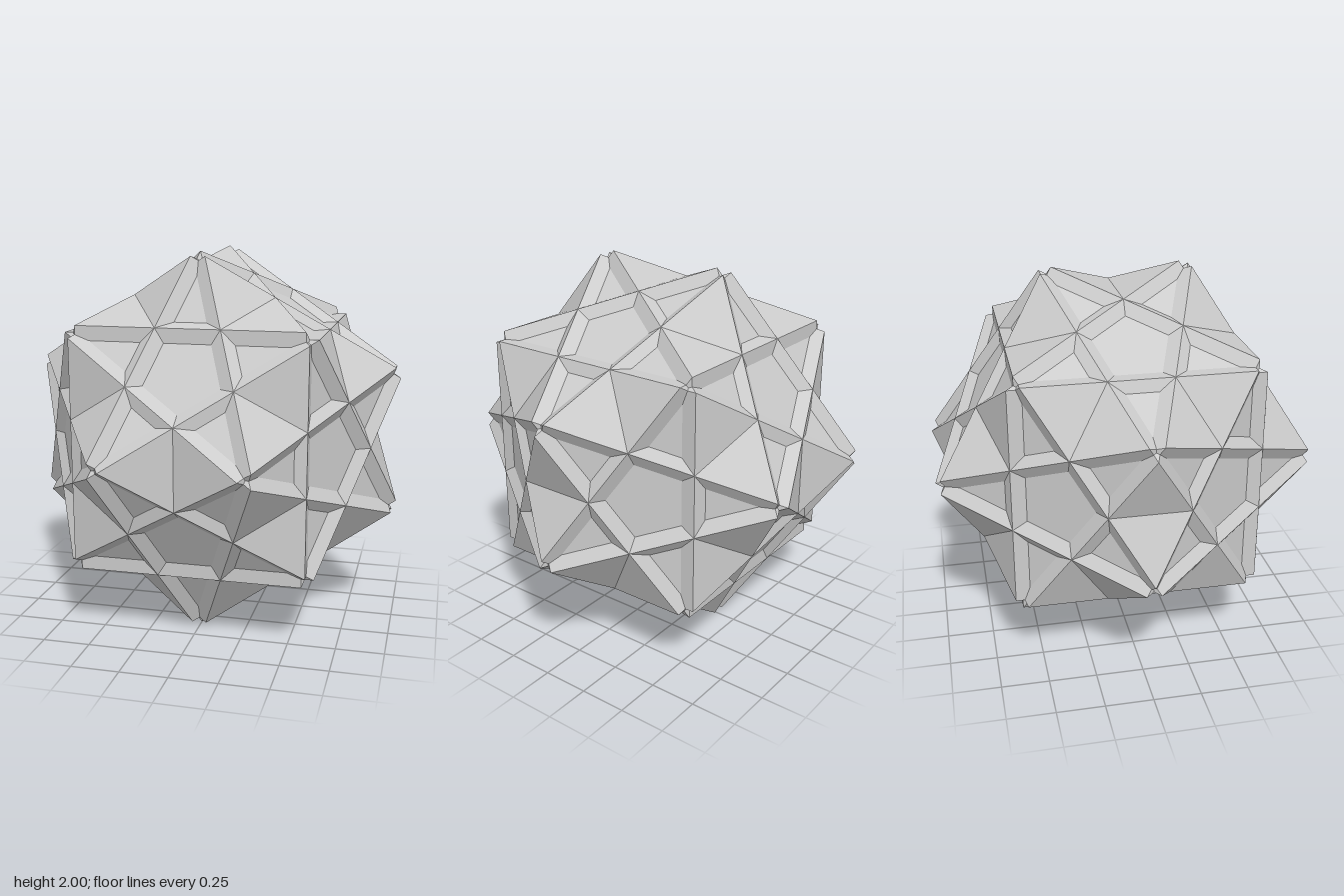
import * as THREE from 'three';

const PHI = (1 + Math.sqrt(5)) / 2;
const CUT = 0.06; // how far each corner is pulled along the dodecahedron edges

// All cyclic permutations and sign changes of (a, b, c)
function cyclic(a, b, c) {
  const out = [];
  for (let i = 0; i < 8; i++) {
    const x = i & 1 ? -a : a, y = i & 2 ? -b : b, z = i & 4 ? -c : c;
    for (const p of [[x, y, z], [z, x, y], [y, z, x]]) {
      const v = new THREE.Vector3(...p);
      if (!out.some(o => o.distanceTo(v) < 1e-4)) out.push(v);
    }
  }
  return out;
}

// Dodecahedron corners, which are also the threefold axes
const k = 1 / PHI;
const corners = [...cyclic(k, k, k), ...cyclic(0, 1, k * k)];
const fiveFold = cyclic(0, 1, PHI).map(v => v.normalize());

// Two points on every dodecahedron edge, plus the twofold axes at edge middles
const points = [], twoFold = [];
corners.forEach((v, i) => corners.forEach((w, j) => {
  if (i === j || v.distanceTo(w) > 0.8) return;
  points.push(v.clone().lerp(w, CUT));
  if (i < j) twoFold.push(v.clone().add(w).normalize());
}));

// The points ranked first..last along an axis, ordered counter-clockwise round it
function ring(axis, first, last) {
  const n = axis.clone().normalize();
  const found = [...points].sort((a, b) => b.dot(n) - a.dot(n)).slice(first, last);
  const centre = found.reduce((s, p) => s.add(p), new THREE.Vector3()).divideScalar(found.length);
  const u = found[0].clone().sub(centre).normalize();
  const w = n.clone().cross(u);
  const angle = p => Math.atan2(p.clone().sub(centre).dot(w), p.clone().sub(centre).dot(u));
  return { centre, outline: found.sort((a, b) => angle(a) - angle(b)) };
}

// Fan of triangles from the centre of a ring
function fan({ centre, outline }) {
  return outline.flatMap((p, i) => [centre, p, outline[(i + 1) % outline.length]]);
}

// Turns a five-point ring into the outline of a pentagram
function star({ centre, outline }) {
  const inner = 1 / (PHI * PHI);
  return {
    centre,
    outline: outline.flatMap((p, i) => {
      const dent = centre.clone().lerp(outline[(i + 3) % 5], -inner);
      return [p, dent];
    }),
  };
}

export function createModel() {
  const model = new THREE.Group();
  model.name = 'starPolyhedron';
  const material = new THREE.MeshStandardMaterial({
    color: 0xcccccc, flatShading: true, side: THREE.DoubleSide,
  });

  function addFaces(name, rings) {
    const geometry = new THREE.BufferGeometry().setFromPoints(rings.flatMap(fan));
    geometry.computeVertexNormals();
    const mesh = new THREE.Mesh(geometry, material);
    mesh.name = name;
    mesh.position.y = 1;
    model.add(mesh);
  }

  // Interpenetrating faces: across threefold, twofold and fivefold axes
  addFaces('triangleFaces', corners.map(a => ring(a, 3, 6)));
  addFaces('rectangleFaces', twoFold.map(a => ring(a, 10, 14)));
  addFaces('pentagramFaces', fiveFold.map(a => star(ring(a, 10, 15))));
  return model;
}
